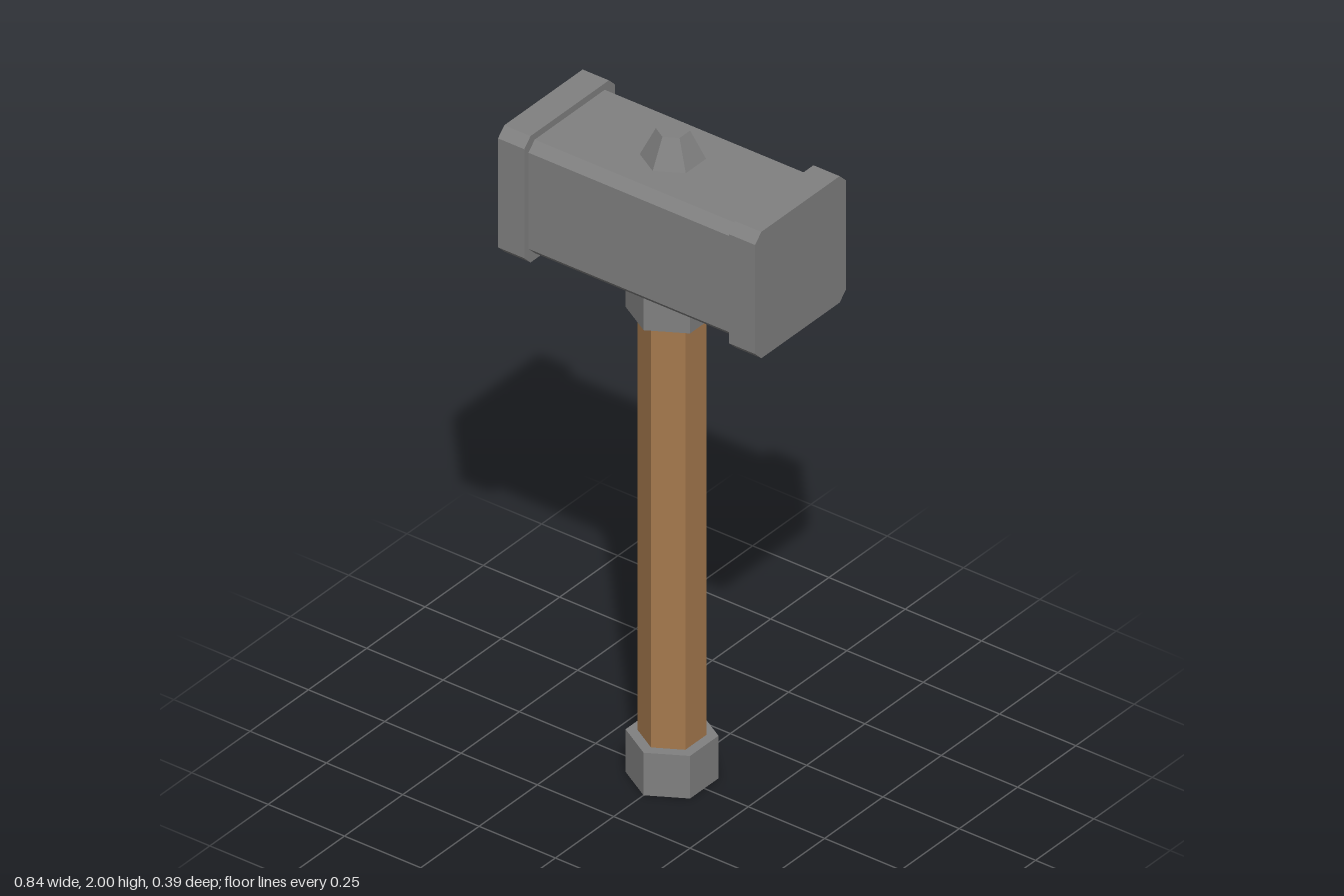
import * as THREE from 'three';

export function createModel() {
  const model = new THREE.Group();
  model.name = 'hammer';
  const metal = new THREE.MeshStandardMaterial({ color: 0x808080, flatShading: true });
  const wood = new THREE.MeshStandardMaterial({ color: 0xa5794d, flatShading: true });

  const add = (name, geometry, material) => {
    const mesh = new THREE.Mesh(geometry, material);
    mesh.name = name;
    model.add(mesh);
    return mesh;
  };

  // Six-sided prism between two heights, corners pointing along z
  const hexPrism = (name, rBottom, rTop, y0, y1, material) => {
    const mesh = add(name, new THREE.CylinderGeometry(rTop, rBottom, y1 - y0, 6), material);
    mesh.position.y = (y0 + y1) / 2;
    return mesh;
  };

  // Block running along x whose four long edges are chamfered
  const chamferedBlock = (name, x0, x1, height, depth, chamfer) => {
    const h = height / 2, d = depth / 2, c = chamfer;
    const outline = new THREE.Shape([
      [d - c, -h], [d, -h + c], [d, h - c], [d - c, h],
      [-d + c, h], [-d, h - c], [-d, -h + c], [-d + c, -h],
    ].map(([x, y]) => new THREE.Vector2(x, y)));
    const geometry = new THREE.ExtrudeGeometry(outline, { depth: x1 - x0, bevelEnabled: false });
    geometry.rotateY(Math.PI / 2);
    add(name, geometry, metal).position.set(x0, 1.74, 0);
  };

  // Shaft with its metal fittings
  hexPrism('pommel', 0.122, 0.122, 0, 0.132, metal);
  hexPrism('handle', 0.09, 0.09, 0.1, 1.47, wood);
  hexPrism('collar', 0.122, 0.122, 1.442, 1.58, metal);

  // Head with a wider striking face at each end
  chamferedBlock('headBody', -0.34, 0.34, 0.352, 0.354, 0.027);
  chamferedBlock('leftStrikingFace', 0.335, 0.421, 0.392, 0.39, 0.027);
  chamferedBlock('rightStrikingFace', -0.421, -0.335, 0.392, 0.39, 0.027);

  // Tapered stud on top of the head
  hexPrism('topStud', 0.089, 0.045, 1.912, 2, metal).position.z = -0.004;

  return model;
}
